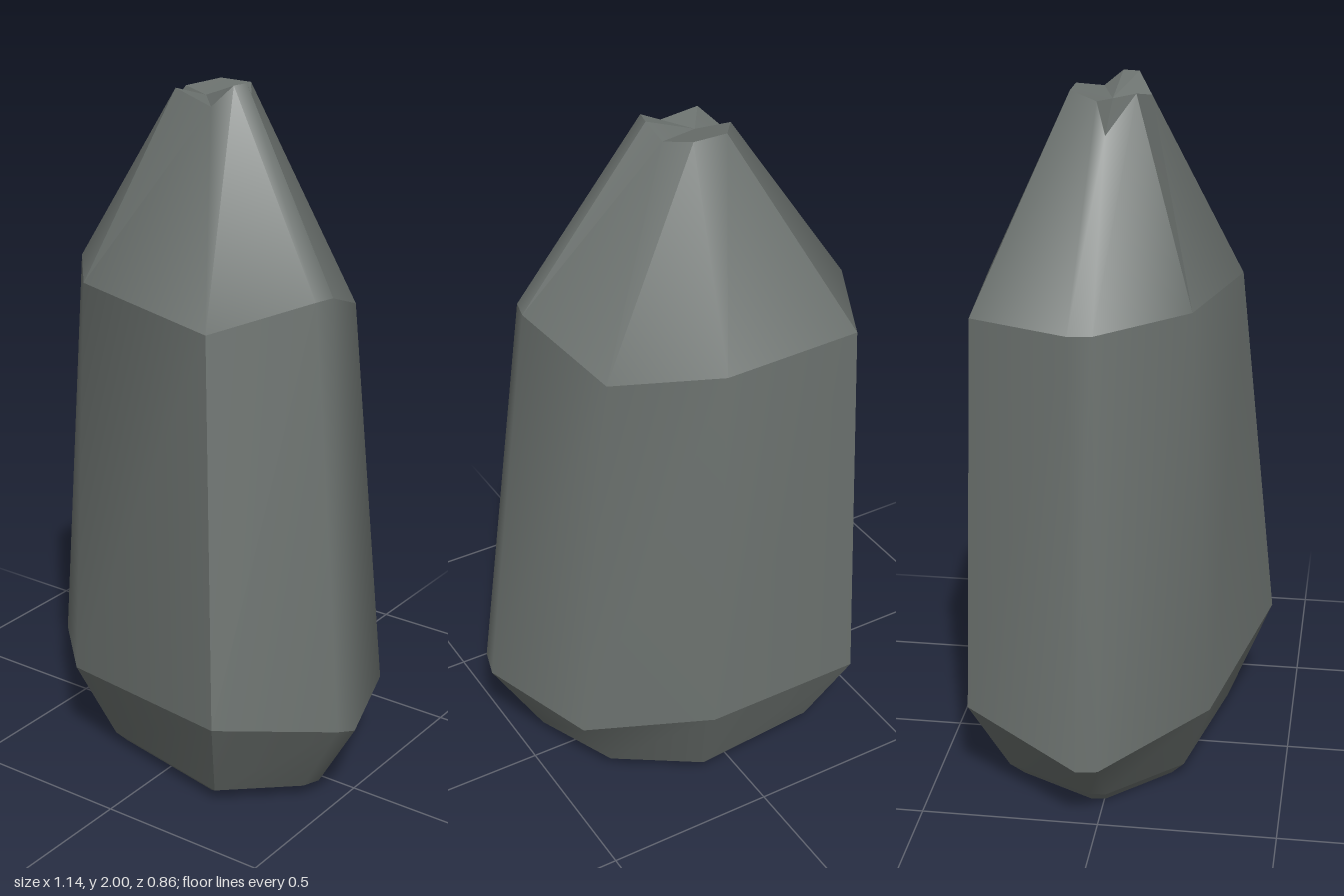
import * as THREE from 'three';
import { toCreasedNormals } from 'three/addons/utils/BufferGeometryUtils.js';

// Cross-sections from the ground up, nine [x, y, z] corners each, counterclockwise from the front
const foot = [
  [0.22, 0.04, 0.30], [0.41, 0.04, 0.13], [0.43, 0.04, 0.08], [0.33, 0.04, -0.165], [0.10, 0.04, -0.32],
  [-0.28, 0.04, -0.29], [-0.41, 0.04, -0.04], [-0.405, 0.04, 0.01], [-0.21, 0.04, 0.21],
];
const base = foot.map(([x, , z]) => [x * 0.86 - 0.015, 0, z * 0.85 - 0.005]);
const belly = [
  [0.30, 0.32, 0.425], [0.555, 0.29, 0.185], [0.57, 0.27, 0.12], [0.445, 0.25, -0.22], [0.13, 0.31, -0.43],
  [-0.37, 0.27, -0.39], [-0.57, 0.205, -0.05], [-0.56, 0.205, 0.01], [-0.29, 0.27, 0.29],
];
const shoulder = [
  [0.205, 1.41, 0.32], [0.42, 1.49, 0.13], [0.435, 1.49, 0.07], [0.335, 1.385, -0.205], [0.08, 1.43, -0.39],
  [-0.345, 1.42, -0.36], [-0.49, 1.43, -0.075], [-0.48, 1.43, -0.01], [-0.28, 1.44, 0.225],
];
const rim = [
  [0.045, 1.945, 0.075], [0.09, 2.0, 0.035], [0.10, 2.0, -0.01], [0.08, 1.96, -0.06], [0.03, 1.975, -0.13],
  [-0.07, 1.975, -0.13], [-0.13, 1.96, -0.05], [-0.18, 1.88, -0.02], [-0.09, 1.975, 0.05],
];

// Turn a list of triangle corners into a geometry with soft upright edges
function facets(corners, crease) {
  const geometry = new THREE.BufferGeometry();
  geometry.setAttribute('position', new THREE.Float32BufferAttribute(corners.flat(), 3));
  return toCreasedNormals(geometry, crease);
}

// Wall between two cross-sections
function band(low, high) {
  const corners = [];
  low.forEach((a, i) => {
    const j = (i + 1) % low.length;
    corners.push(a, low[j], high[j], a, high[j], high[i]);
  });
  return facets(corners, 0.72);
}

// Fan closing a cross-section
function cap(ring, centre, up) {
  const corners = [];
  ring.forEach((a, i) => {
    const b = ring[(i + 1) % ring.length];
    corners.push(...(up ? [a, b, centre] : [b, a, centre]));
  });
  return facets(corners, 0.4);
}

export function createModel() {
  const group = new THREE.Group();
  group.name = 'standingStone';
  const stone = new THREE.MeshStandardMaterial({ color: 0x6b716e });
  stone.name = 'grey stone';

  const parts = {
    underside: cap(base, [-0.01, 0, 0], false),
    footBevel: band(base, foot),
    lowerTaper: band(foot, belly),
    body: band(belly, shoulder),
    upperTaper: band(shoulder, rim),
    brokenTip: cap(rim, [-0.04, 1.95, -0.02], true),
  };
  for (const [name, geometry] of Object.entries(parts)) {
    const mesh = new THREE.Mesh(geometry, stone);
    mesh.name = name;
    group.add(mesh);
  }
  return group;
}
